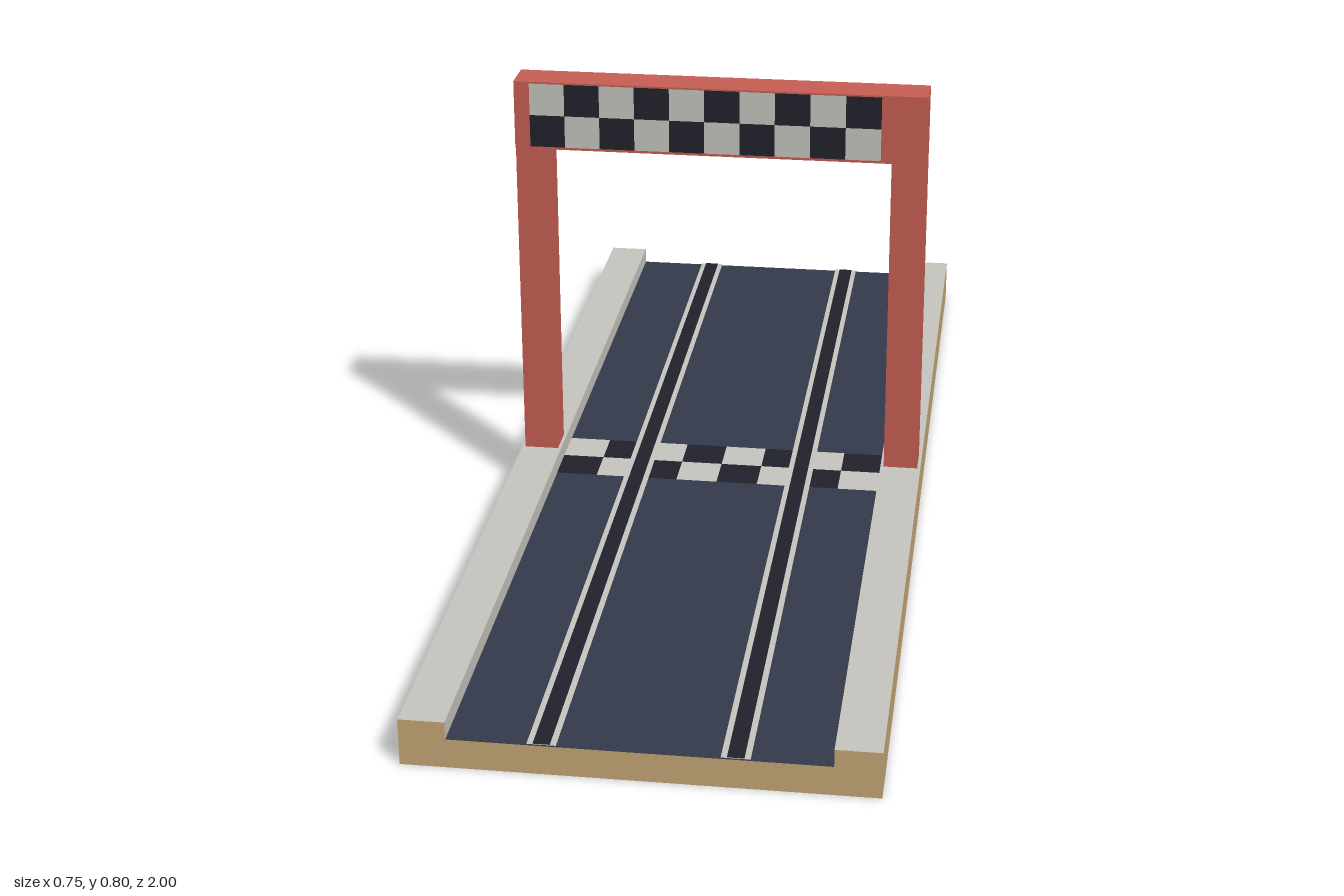
import * as THREE from 'three';

const flat = (name, color) => {
  const m = new THREE.MeshStandardMaterial({ color });
  m.name = name;
  return m;
};

export function createModel() {
  const tan = flat('tan base', 0xc8a977);
  const pale = flat('pale grey', 0xc8c7c0);
  const navy = flat('navy road', 0x343b4b);
  const dark = flat('near black', 0x21222c);
  const red = flat('red gantry', 0xc95f55);

  const model = new THREE.Group();
  model.name = 'raceTrackFinish';

  // box given by its limits on each axis
  const box = (name, material, [x0, x1], [y0, y1], [z0, z1], parent = model) => {
    const mesh = new THREE.Mesh(new THREE.BoxGeometry(x1 - x0, y1 - y0, z1 - z0), material);
    mesh.position.set((x0 + x1) / 2, (y0 + y1) / 2, (z0 + z1) / 2);
    mesh.name = name;
    parent.add(mesh);
    return mesh;
  };

  // painted rectangle lying on the road
  const paint = (name, material, x, y, z, w, d, parent = model) => {
    const mesh = new THREE.Mesh(new THREE.PlaneGeometry(w, d).rotateX(-Math.PI / 2), material);
    mesh.position.set(x, y, z);
    mesh.name = name;
    parent.add(mesh);
  };

  // road slab; face order is +x, -x, top, bottom, front, back
  box('roadSlab', [tan, tan, navy, tan, tan, tan], [-0.3, 0.3], [0, 0.05], [-1, 1]);

  for (const side of [-1, 1]) {
    const s = side > 0 ? 'left' : 'right';
    // kerbs with pale top and inner face
    const faces = side > 0 ? [tan, pale, pale, tan, tan, tan] : [pale, tan, pale, tan, tan, tan];
    const span = (a, b) => (side > 0 ? [a, b] : [-b, -a]);
    box(s + 'Kerb', faces, span(0.3, 0.374), [0, 0.08], [-1, 1]);

    // lane slot: pale borders around a dark groove
    paint(s + 'LaneBorder', pale, side * 0.15, 0.0525, 0, 0.046, 2);
    paint(s + 'LaneSlot', dark, side * 0.15, 0.0535, 0, 0.027, 2);

    // gantry post
    box(s + 'Post', red, span(0.306, 0.368), [0.08, 0.675], [-0.03, 0.03]);
  }

  // chequered line across the road
  const line = new THREE.Group();
  line.name = 'finishLine';
  model.add(line);
  for (let row = 0; row < 2; row++) {
    for (let col = 0; col < 8; col++) {
      paint('lineSquare', (row + col) % 2 ? dark : pale,
        -0.2625 + col * 0.075, 0.0515, -0.0375 + row * 0.075, 0.075, 0.075, line);
    }
  }

  // gantry beam with a chequered banner on both faces
  box('beam', red, [-0.368, 0.368], [0.675, 0.8], [-0.035, 0.035]);
  const banner = new THREE.Group();
  banner.name = 'banner';
  model.add(banner);
  const w = 0.0627, h = 0.0587;
  for (const side of [-1, 1]) {
    for (let row = 0; row < 2; row++) {
      for (let col = 0; col < 10; col++) {
        const square = new THREE.Mesh(new THREE.PlaneGeometry(w, h), (row + col) % 2 ? pale : dark);
        square.position.set(-0.34 + (col + 0.5) * w, 0.68 + (row + 0.5) * h, side * 0.0365);
        if (side < 0) square.rotation.y = Math.PI;
        square.name = 'bannerSquare';
        banner.add(square);
      }
    }
  }

  return model;
}
